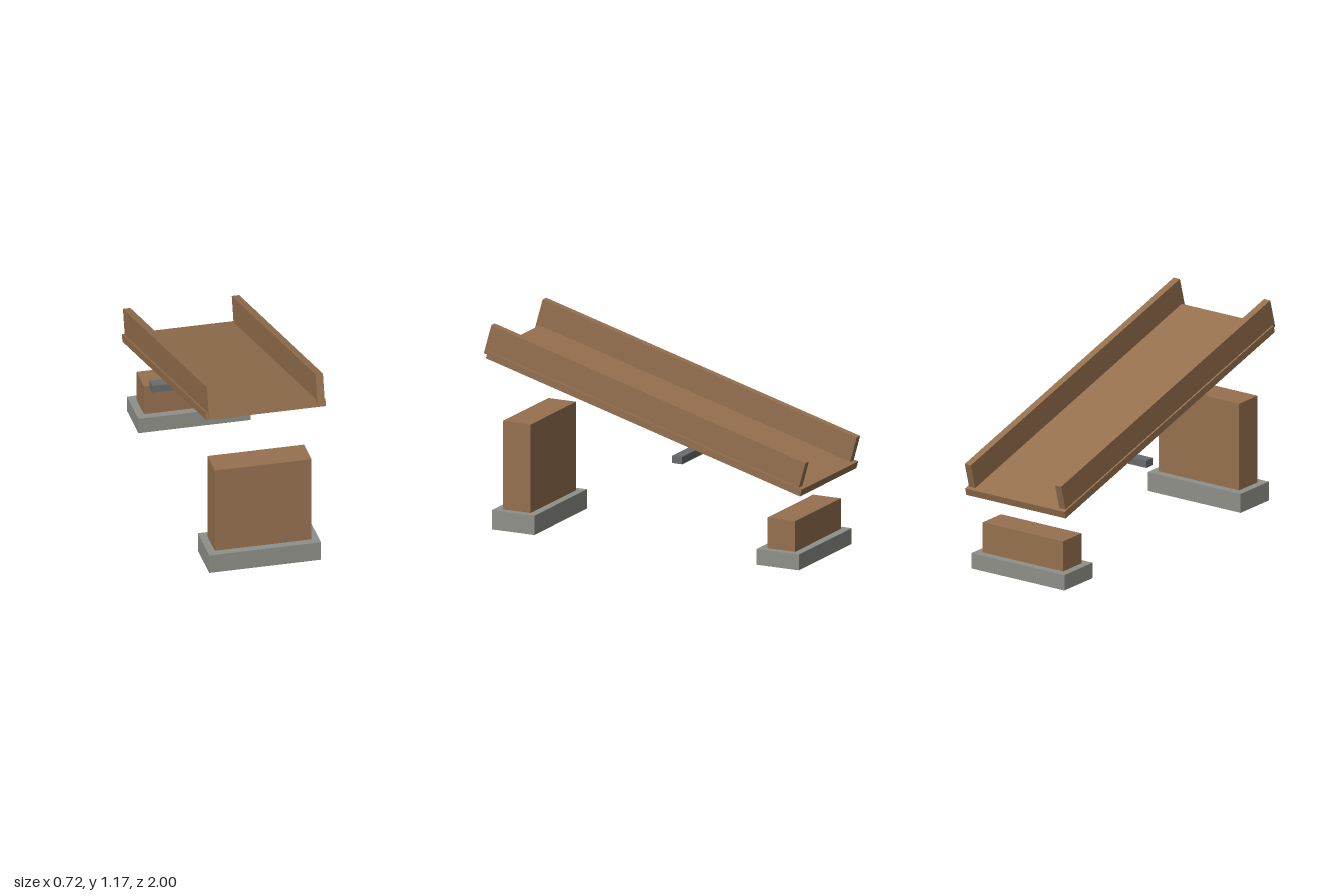
import * as THREE from 'three';

const wood = new THREE.MeshStandardMaterial({ color: 0x96714f });
const concrete = new THREE.MeshStandardMaterial({ color: 0x90908a });
const metal = new THREE.MeshStandardMaterial({ color: 0x686c6c });

// Box given by its size and centre
function box(name, material, size, centre) {
  const mesh = new THREE.Mesh(new THREE.BoxGeometry(...size), material);
  mesh.name = name;
  mesh.position.set(...centre);
  return mesh;
}

// Wooden pier standing through a wider concrete footing
function support(name, z, footingHeight, top) {
  const group = new THREE.Group();
  group.name = name;
  const bottom = 0.01;
  group.add(
    box('footing', concrete, [0.636, footingHeight, 0.263], [0, footingHeight / 2, z]),
    box('pier', wood, [0.55, top - bottom, 0.172], [0, (top + bottom) / 2, z])
  );
  return group;
}

export function createModel() {
  const model = new THREE.Group();
  model.name = 'ramp';

  // Sloping trough: high at the front, low at the back
  const trough = new THREE.Group();
  trough.name = 'trough';
  trough.position.set(0, 0.725, 0);
  trough.rotation.x = -0.275;
  const length = 2.026;
  trough.add(box('deck', wood, [0.68, 0.042, length], [0, 0, 0]));
  for (const side of [1, -1]) {
    trough.add(box(side > 0 ? 'leftRail' : 'rightRail', wood,
      [0.042, 0.172, length], [side * 0.309, 0.084, 0.024]));
  }
  model.add(trough);

  // Supports and the loose bar under the deck
  model.add(support('frontSupport', 0.823, 0.11, 0.615));
  model.add(support('backSupport', -0.82, 0.09, 0.265));
  model.add(box('crossBar', metal, [0.724, 0.042, 0.063], [0, 0.551, -0.218]));

  return model;
}
